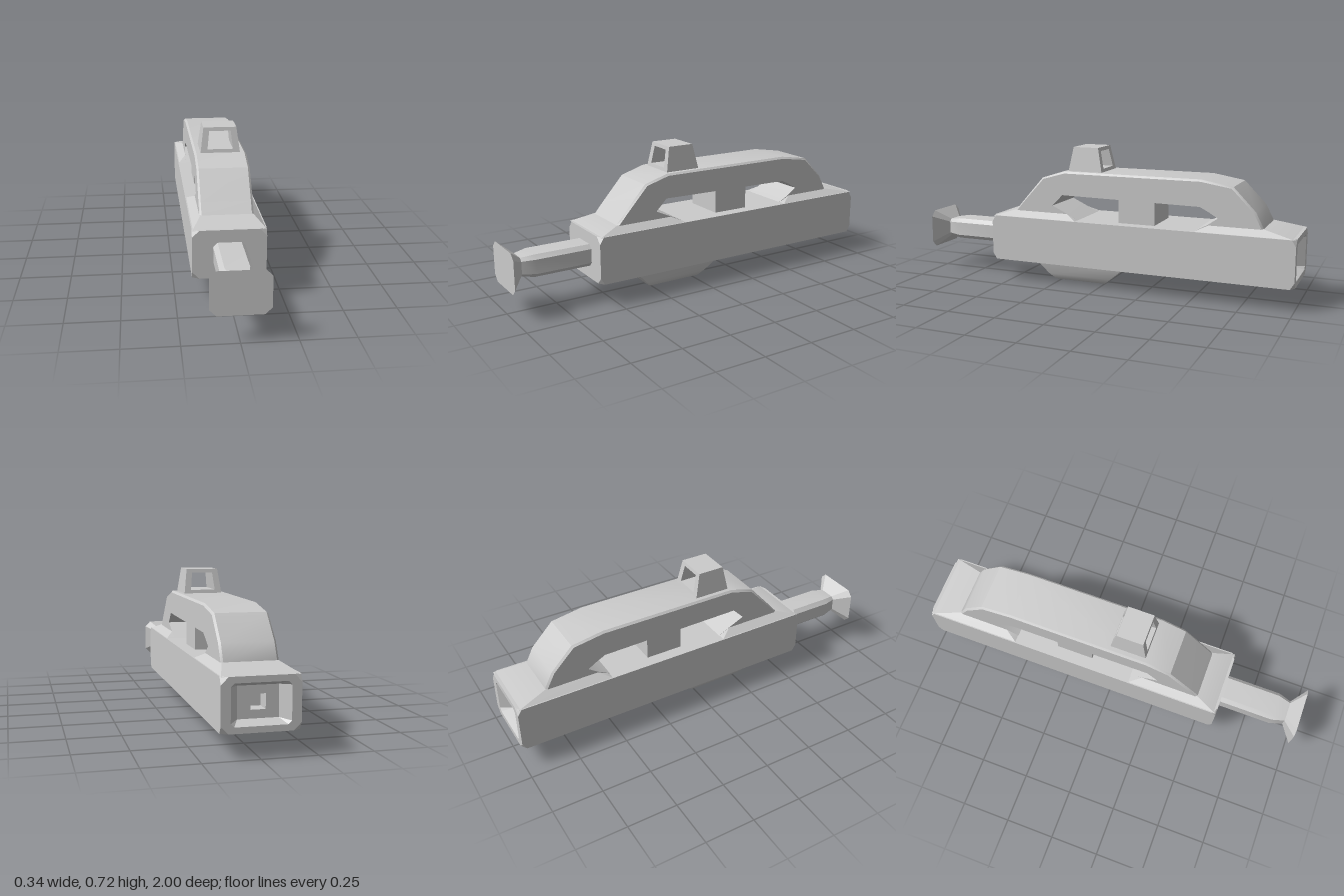
import * as THREE from 'three';
import { toCreasedNormals } from 'three/addons/utils/BufferGeometryUtils.js';

const material = new THREE.MeshStandardMaterial({ color: 0xcccccc });

// Skin a row of equal-length rings and cap both ends; zero-area triangles are dropped.
function loft(rings, crease = 0.5) {
  const pos = [];
  const tri = (a, b, c) => {
    const area = new THREE.Triangle(new THREE.Vector3(...a), new THREE.Vector3(...b), new THREE.Vector3(...c)).getArea();
    if (area > 1e-8) pos.push(...a, ...b, ...c);
  };
  const n = rings[0].length;
  for (let i = 0; i < rings.length - 1; i++) {
    for (let j = 0; j < n; j++) {
      const k = (j + 1) % n;
      tri(rings[i][j], rings[i][k], rings[i + 1][k]);
      tri(rings[i][j], rings[i + 1][k], rings[i + 1][j]);
    }
  }
  const first = rings[0], last = rings[rings.length - 1];
  for (let j = 1; j < n - 1; j++) {
    tri(first[0], first[j + 1], first[j]);
    tri(last[0], last[j], last[j + 1]);
  }
  const geo = new THREE.BufferGeometry();
  geo.setAttribute('position', new THREE.Float32BufferAttribute(pos, 3));
  return toCreasedNormals(geo, crease);
}

// Upright rectangle with corners cut by c, facing z.
const octagon = (w, h, c, z, y = 0.23) => [
  [w, -h + c], [w, h - c], [w - c, h], [-w + c, h],
  [-w, h - c], [-w, -h + c], [-w + c, -h], [w - c, -h],
].map(([px, py]) => [px, y + py, z]);

// Level rectangle between two z values.
const level = (y, w, zBack, zFront) => [[w, y, zFront], [w, y, zBack], [-w, y, zBack], [-w, y, zFront]];

export function createModel() {
  const model = new THREE.Group();
  const add = (name, geometry) => {
    const mesh = new THREE.Mesh(geometry, material);
    mesh.name = name;
    model.add(mesh);
    return mesh;
  };

  // Long body with cut corners and a stepped recess in the rear face
  add('body', loft([
    octagon(0.033, 0.033, 0, -0.88),
    octagon(0.033, 0.033, 0, -0.95),
    octagon(0.09, 0.07, 0, -0.95),
    octagon(0.13, 0.09, 0.015, -1),
    octagon(0.172, 0.1175, 0.033, -1),
    octagon(0.172, 0.1175, 0, -0.98),
    octagon(0.172, 0.1175, 0, 0.57),
    octagon(0.172, 0.1175, 0.033, 0.59),
  ]));

  // Barrel with a flared rectangular muzzle
  add('barrel', loft([
    octagon(0.075, 0.055, 0.02, 0.58, 0.232),
    octagon(0.075, 0.055, 0.02, 0.87, 0.232),
    octagon(0.055, 0.046, 0.015, 0.935, 0.232),
    octagon(0.132, 0.101, 0.03, 1, 0.23),
  ], 0.3));

  // Sloped feet where the handle meets the body
  add('frontHandleFoot', loft([level(0.345, 0.17, 0.11, 0.585), level(0.378, 0.125, 0.18, 0.475)]));
  add('rearHandleFoot', loft([level(0.345, 0.17, -0.51, -0.995), level(0.378, 0.125, -0.58, -0.84)]
    .map((r) => level(r[0][1], r[0][0], r[0][2], r[1][2]))));

  // Arched handle: outer z, y and inner z, y at each station from front to back
  const stations = [
    [0.475, 0.346, 0.11, 0.346], [0.473, 0.378, 0.177, 0.378],
    [0.43, 0.428, 0.257, 0.415], [0.315, 0.557, 0.2, 0.473],
    [0.19, 0.595, 0.15, 0.472], [-0.53, 0.595, -0.53, 0.463],
    [-0.69, 0.568, -0.575, 0.44], [-0.8, 0.455, -0.62, 0.413],
    [-0.84, 0.378, -0.57, 0.378], [-0.84, 0.346, -0.51, 0.346],
  ];
  add('handle', loft(stations.map(([oz, oy, iz, iy]) => {
    const w = 0.128, t = 0.01 / Math.hypot(oz - iz, oy - iy);
    const sy = oy + (iy - oy) * t, sz = oz + (iz - oz) * t;
    return [[-w, iy, iz], [-w, sy, sz], [0.01 - w, oy, oz], [w - 0.01, oy, oz], [w, sy, sz], [w, iy, iz]];
  })));

  // Block standing in the handle opening
  add('centrePost', new THREE.BoxGeometry(0.22, 0.15, 0.19).translate(0, 0.415, -0.2));

  // Open sight frame, narrowing towards the top
  const frame = new THREE.Shape([[-0.098, 0.59], [0.098, 0.59], [0.081, 0.718], [-0.081, 0.718]]
    .map((p) => new THREE.Vector2(...p)));
  frame.holes.push(new THREE.Path([[-0.063, 0.612], [-0.053, 0.7], [0.053, 0.7], [0.063, 0.612]]
    .map((p) => new THREE.Vector2(...p))));
  const sight = new THREE.ExtrudeGeometry(frame, { depth: 1, bevelEnabled: false });
  const p = sight.attributes.position;
  for (let i = 0; i < p.count; i++) {
    const t = (p.getY(i) - 0.59) / 0.128;
    p.setZ(i, THREE.MathUtils.lerp(THREE.MathUtils.lerp(-0.007, 0.02, t), THREE.MathUtils.lerp(0.178, 0.155, t), p.getZ(i)));
  }
  sight.computeVertexNormals();
  add('sight', sight);

  // Tapered housing under the body
  add('underHousing', loft([
    level(0, 0.042, 0, 0.257),
    level(0.012, 0.075, -0.015, 0.269),
    level(0.04, 0.093, -0.05, 0.297),
    level(0.115, 0.111, -0.14, 0.37),
  ], 0.7));

  return model;
}
